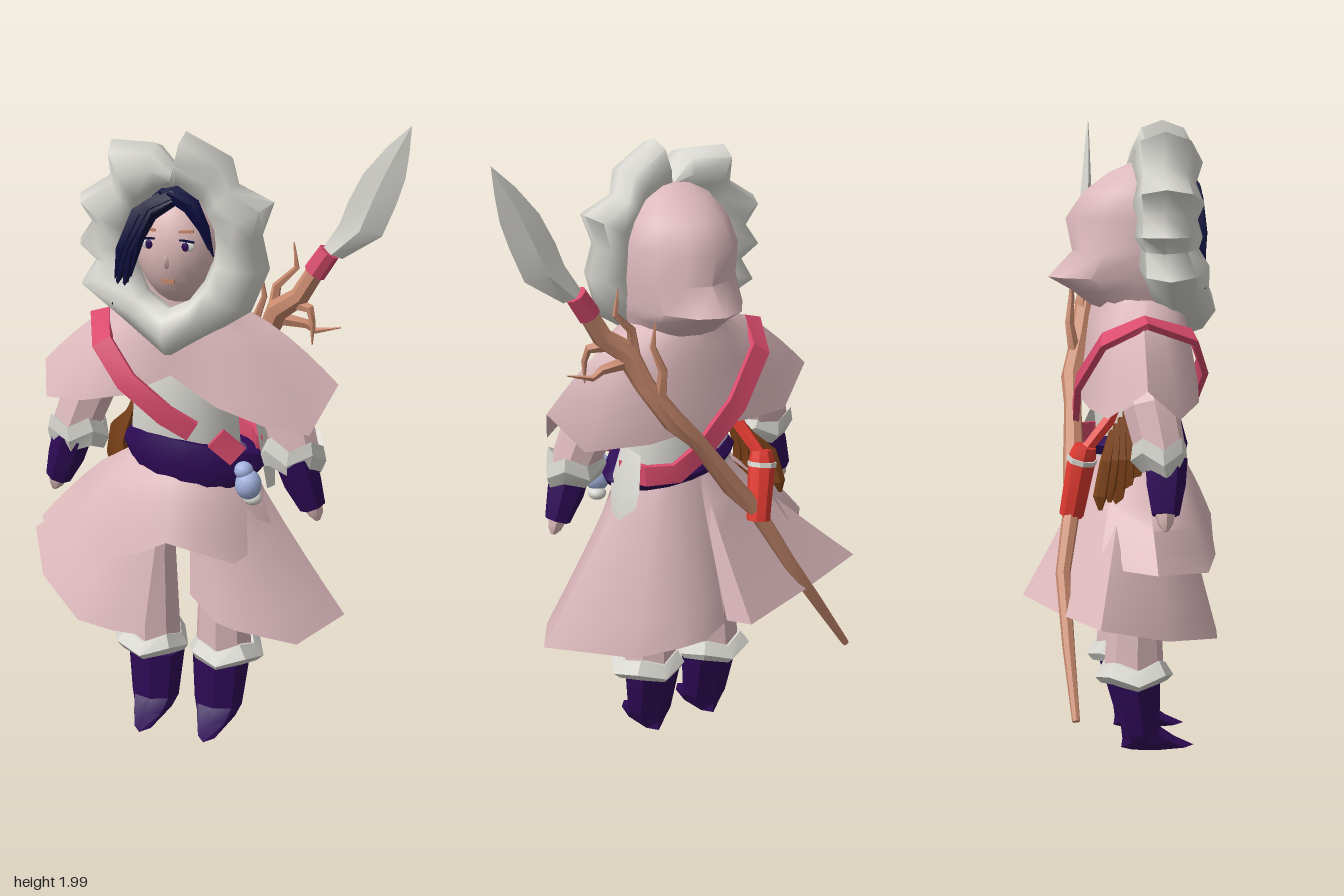
import * as THREE from 'three';
import { mergeVertices, toCreasedNormals } from 'three/addons/utils/BufferGeometryUtils.js';

const V = (p) => new THREE.Vector3(...p);
const CX = -0.03; // mirror line of the body

// Skin over rings of points; rings may be closed loops or open strips
function loft(rings, closed = true, crease = 0.8) {
  const n = rings[0].length, idx = [];
  for (let i = 0; i < rings.length - 1; i++) {
    for (let j = 0; j < (closed ? n : n - 1); j++) {
      const a = i * n + j, b = i * n + (j + 1) % n;
      idx.push(a, b, b + n, a, b + n, a + n);
    }
  }
  let g = new THREE.BufferGeometry();
  g.setAttribute('position', new THREE.Float32BufferAttribute(rings.flat(2), 3));
  g.setIndex(idx);
  g = mergeVertices(g, 1e-5);
  return toCreasedNormals(g, crease);
}

// Tapered limb through points, closed at both ends
function limb(pts, radii, sides = 6, crease = 0.8) {
  const P = pts.map(V), rings = [];
  P.forEach((p, i) => {
    const d = P[Math.min(i + 1, P.length - 1)].clone().sub(P[Math.max(i - 1, 0)]).normalize();
    const ref = Math.abs(d.z) > 0.9 ? new THREE.Vector3(1, 0, 0) : new THREE.Vector3(0, 0, 1);
    const u = ref.cross(d).normalize(), v = d.clone().cross(u);
    const ring = (r) => Array.from({ length: sides }, (_, k) => {
      const a = k / sides * 2 * Math.PI;
      return p.clone().addScaledVector(u, r * Math.cos(a)).addScaledVector(v, r * Math.sin(a)).toArray();
    });
    if (i === 0) rings.push(ring(0));
    rings.push(ring(radii[i]));
    if (i === P.length - 1) rings.push(ring(0));
  });
  return loft(rings, true, crease);
}

// Horizontal ellipse, starting at the front and going round by the +x side; zig lifts every other point
const oval = (x, y, z, rx, rz, n = 12, zig = 0) => Array.from({ length: n }, (_, k) => {
  const a = k / n * 2 * Math.PI;
  return [x + rx * Math.sin(a), y + (k % 2 ? zig : -zig), z + rz * Math.cos(a)];
});

// Cloth hanging from an elliptical top edge down to a free hem
function drape(hem, top, power, closed) {
  const [x, y, z, rx, rz] = top, rows = 5, rings = [];
  for (let i = 0; i <= rows; i++) {
    const t = 1 - i / rows, w = Math.pow(t, power);
    rings.push(hem.map((h) => {
      const a = Math.atan2((h[0] - x) / rx, (h[2] - z) / rz);
      const sx = x + rx * Math.sin(a), sz = z + rz * Math.cos(a);
      return [sx + (h[0] - sx) * w, y + (h[1] - y) * t, sz + (h[2] - sz) * w];
    }));
  }
  return loft(rings, closed, 1.0);
}

// Flat strap of rectangular section; each point is followed by its outward direction
function strap(pts, width, thick = 0.02) {
  const P = pts.map((p) => V(p.slice(0, 3)));
  const rings = P.map((p, i) => {
    const d = P[Math.min(i + 1, P.length - 1)].clone().sub(P[Math.max(i - 1, 0)]).normalize();
    const o = V(pts[i].slice(3)), s = d.clone().cross(o).normalize();
    o.copy(s).cross(d).normalize();
    return [[1, 1], [-1, 1], [-1, -1], [1, -1]].map(([a, b]) =>
      p.clone().addScaledVector(s, a * width / 2).addScaledVector(o, b * thick / 2).toArray());
  });
  const cap = (p) => rings[0].map(() => p.toArray());
  return loft([cap(P[0]), ...rings, cap(P[P.length - 1])], true, 0.5);
}

export function createModel() {
  const root = new THREE.Group();
  const mat = (name, color) => Object.assign(
    new THREE.MeshStandardMaterial({ color, side: THREE.DoubleSide }), { name });
  const cloth = mat('pinkCloth', 0xdcb8bc), fur = mat('paleFur', 0xd8d7d1), purple = mat('purpleLeather', 0x2e0a56),
    skin = mat('skin', 0xe0bcbb), navy = mat('navyHair', 0x0a0a3a), wood = mat('wood', 0xc98a6e),
    crimson = mat('crimsonStrap', 0xd84a6c), red = mat('brightRed', 0xe03a30),
    brown = mat('brownLeather', 0x7c4218), blue = mat('paleBlue', 0xa2b2de);
  const add = (name, geo, m) => {
    const mesh = new THREE.Mesh(geo, m);
    mesh.name = name;
    root.add(mesh);
    return mesh;
  };
  const blob = (name, m, pos, scale) => {
    const b = add(name, new THREE.SphereGeometry(1, 14, 10), m);
    b.position.set(...pos);
    b.scale.set(...scale);
  };
  const box = (name, m, pos, size, rz = 0) => {
    const b = add(name, new THREE.BoxGeometry(...size), m);
    b.position.set(...pos);
    b.rotation.z = rz;
  };

  // Legs, boots, arms and hands, mirrored
  for (const s of [1, -1]) {
    const X = (x) => CX + s * x, side = s > 0 ? 'left' : 'right';
    add(side + 'TrouserLeg', limb([[X(0.095), 0.86, 0.04], [X(0.115), 0.6, 0.04], [X(0.122), 0.27, 0.035]], [0.075, 0.074, 0.095], 8, 0.3), cloth);
    add(side + 'BootFur', loft([oval(X(0.125), 0.225, 0.035, 0.07, 0.07, 8), oval(X(0.125), 0.235, 0.035, 0.11, 0.105, 8, 0.008),
      oval(X(0.13), 0.26, 0.035, 0.128, 0.125, 8, 0.012), oval(X(0.125), 0.3, 0.035, 0.1, 0.1, 8, 0.012),
      oval(X(0.125), 0.295, 0.035, 0.06, 0.06, 8)], true, 0.4), fur);
    add(side + 'Boot', loft([oval(X(0.11), 0.006, 0.08, 0, 0, 8), oval(X(0.11), 0.006, 0.113, 0.04, 0.117, 8),
      oval(X(0.11), 0.035, 0.085, 0.066, 0.085, 8), oval(X(0.11), 0.07, 0.058, 0.082, 0.062, 8),
      oval(X(0.112), 0.23, 0.035, 0.098, 0.085, 8)], true, 0.4), purple);
    add(side + 'Sleeve', limb([[X(0.24), 1.28, 0.05], [X(0.32), 1.13, 0.06], [X(0.365), 1.0, 0.085]], [0.06, 0.083, 0.075], 8, 0.3), cloth);
    add(side + 'CuffFur', loft([oval(X(0.36), 0.96, 0.09, 0.04, 0.04, 8), oval(X(0.355), 0.95, 0.09, 0.09, 0.06, 8, 0.01),
      oval(X(0.355), 0.995, 0.08, 0.105, 0.085, 8, 0.018), oval(X(0.36), 1.04, 0.08, 0.09, 0.08, 8, 0.016),
      oval(X(0.36), 1.02, 0.08, 0.05, 0.05, 8)], true, 0.3), fur);
    add(side + 'Glove', limb([[X(0.365), 0.985, 0.1], [X(0.39), 0.91, 0.095], [X(0.423), 0.825, 0.09]], [0.064, 0.06, 0.042], 7, 0.4), purple);
    add(side + 'Fingers', limb([[X(0.421), 0.835, 0.09], [X(0.433), 0.8, 0.09], [X(0.44), 0.78, 0.09]], [0.034, 0.024, 0.008], 6), skin);
  }

  // Torso and belt, the belt deepening to a point at the front
  add('vest', loft([oval(CX, 0.86, 0.05, 0.19, 0.12), oval(CX, 1.0, 0.06, 0.18, 0.13), oval(CX, 1.12, 0.06, 0.17, 0.14),
    oval(CX, 1.25, 0.06, 0.15, 0.13), oval(CX, 1.4, 0.06, 0.09, 0.1)]), fur);
  const beltRing = (grow, h) => oval(0, 0, 0.06, 0.21 + grow, 0.145 + grow, 16).map(([x, , z]) =>
    [x, 0.965 - 0.13 * x + h * (0.032 + 0.055 * Math.max(0, (z - 0.06) / 0.16)), z]);
  add('belt', loft([beltRing(-0.04, -1), beltRing(0, -0.9), beltRing(0.02, 0), beltRing(0, 0.9), beltRing(-0.04, 1)]), purple);
  add('vestTail', loft([[[0.19, 1.06, 0.03], [0.19, 1.06, -0.02], [0.18, 1.05, -0.07]],
    [[0.22, 0.93, 0.05], [0.23, 0.92, -0.03], [0.21, 0.95, -0.11]],
    [[0.23, 0.84, 0.03], [0.24, 0.83, -0.03], [0.22, 0.89, -0.1]]], false), fur);

  // Skirt of two panels overlapping at the back, with a shorter flap over the front
  const waist = [-0.02, 0.94, 0.05, 0.19, 0.13];
  add('leftSkirtPanel', drape([[0.04, 0.54, 0.24], [0.13, 0.47, 0.27], [0.2, 0.45, 0.27], [0.38, 0.4, 0.21], [0.49, 0.43, 0.02],
    [0.27, 0.42, -0.18], [0.13, 0.43, -0.215], [0.04, 0.44, -0.23], [-0.06, 0.46, -0.19]], waist, 1.1, false), cloth);
  add('rightSkirtPanel', drape([[-0.04, 0.49, -0.23], [-0.08, 0.5, -0.31], [-0.36, 0.51, -0.215], [-0.63, 0.53, -0.12],
    [-0.52, 0.46, 0.09], [-0.33, 0.41, 0.27], [-0.2, 0.4, 0.29], [-0.1, 0.4, 0.29]], waist, 1.1, false), cloth);
  add('skirtFlap', drape([[0.27, 0.7, 0.08], [0.18, 0.66, 0.23], [0.08, 0.7, 0.27], [-0.02, 0.735, 0.3], [-0.12, 0.68, 0.29],
    [-0.23, 0.65, 0.28], [-0.4, 0.635, 0.23], [-0.53, 0.66, 0.06], [-0.4, 0.66, -0.1]], [-0.02, 0.94, 0.05, 0.2, 0.14], 0.75, false), cloth);

  // Shoulder cape
  add('cape', drape([[-0.03, 1.25, 0.21], [0.12, 1.17, 0.23], [0.27, 1.12, 0.22], [0.39, 1.08, 0.15], [0.45, 1.21, 0.03],
    [0.37, 1.1, -0.06], [0.17, 1.1, -0.11], [-0.03, 1.12, -0.12], [-0.2, 1.11, -0.11], [-0.36, 1.1, -0.07],
    [-0.51, 1.2, 0.03], [-0.47, 1.11, 0.13], [-0.32, 1.14, 0.21], [-0.17, 1.18, 0.23]], [CX, 1.44, 0.06, 0.15, 0.14], 0.68, true), cloth);

  // Hood: rows of height, half width and reach to the back, with a hanging fold
  const hoodRows = [[1.4, 0.15, 0.17], [1.46, 0.17, 0.25], [1.5, 0.18, 0.32], [1.58, 0.185, 0.245], [1.68, 0.185, 0.265],
    [1.76, 0.165, 0.21], [1.82, 0.12, 0.13], [1.85, 0.06, 0.06], [1.855, 0, 0]];
  add('hood', loft(hoodRows.map(([y, rx, back]) => oval(CX, y, 0, rx, 1, 14).map(([x, , z]) =>
    [x, y, 0.1 + z * (z > 0 ? 0.04 : back)])), true, 1.0), cloth);

  // Lumpy fur ring round the face: outer outline, lump and notch in turn
  const outline = [[-0.03, 1.87], [0, 1.98], [0.13, 1.91], [0.15, 1.83], [0.26, 1.78], [0.225, 1.68], [0.25, 1.58], [0.2, 1.45],
    [0.09, 1.38], [-0.03, 1.31], [-0.18, 1.4], [-0.34, 1.5], [-0.29, 1.58], [-0.35, 1.63], [-0.3, 1.7], [-0.345, 1.77],
    [-0.235, 1.84], [-0.24, 1.94], [-0.1, 1.94]];
  const furRings = outline.map(([x, y]) => {
    const a = Math.atan2((y - 1.63) / 0.19, (x - CX) / 0.125);
    const low = Math.max(0, -Math.sin(a)), flank = Math.abs(Math.cos(a));
    const ix = CX + 0.122 * Math.cos(a) * (1 - 0.15 * low), iy = 1.63 + (0.187 - 0.025 * low) * Math.sin(a);
    const len = Math.hypot(x - ix, y - iy);
    return Array.from({ length: 8 }, (_, k) => {
      const b = k / 8 * 2 * Math.PI, w = 0.5 - 0.5 * Math.cos(b);
      return [ix + (x - ix) * w, iy + (y - iy) * w,
        0.145 + 0.09 * low - (0.04 * low + 0.04 * flank) * w + (0.05 + 0.27 * len) * Math.sin(b)];
    });
  });
  add('hoodFur', loft([...furRings, furRings[0]], true, 1.4), fur);

  // Head, narrowing to the chin
  const headGeo = new THREE.SphereGeometry(1, 24, 16), hp = headGeo.attributes.position;
  for (let i = 0; i < hp.count; i++) {
    const y = hp.getY(i), k = 1 - 0.15 * Math.max(0, -y);
    hp.setXYZ(i, hp.getX(i) * 0.14 * k, y * 0.185, hp.getZ(i) * 0.145);
  }
  headGeo.computeVertexNormals();
  add('head', headGeo, skin).position.set(CX, 1.64, 0.1);
  for (const s of [1, -1]) {
    blob('eyeWhite', fur, [CX + s * 0.058, 1.66, 0.23], [0.025, 0.015, 0.006]);
    blob('iris', purple, [CX + s * 0.056, 1.66, 0.235], [0.011, 0.014, 0.004]);
    box('eyelid', navy, [CX + s * 0.06, 1.677, 0.233], [0.046, 0.005, 0.008], -s * 0.1);
    box('eyebrow', wood, [CX + s * 0.058, 1.705, 0.232], [0.045, 0.008, 0.008], s * 0.1);
  }
  add('nose', limb([[CX, 1.65, 0.236], [CX, 1.605, 0.246], [CX, 1.595, 0.236]], [0.004, 0.009, 0.006], 8, 2), skin);
  box('mouth', wood, [CX, 1.55, 0.227], [0.04, 0.013, 0.009]);

  // Swept fringe
  const cap = add('hairCap', new THREE.SphereGeometry(1, 20, 8, 0, Math.PI * 2, 0, 0.72), navy);
  cap.position.set(CX, 1.645, 0.095);
  cap.scale.set(0.15, 0.19, 0.155);
  const strands = [
    [[-0.01, 1.81], [-0.09, 1.77], [-0.15, 1.65], [-0.2, 1.47]], [[-0.01, 1.8], [-0.1, 1.74], [-0.14, 1.63], [-0.17, 1.48]],
    [[-0.01, 1.8], [-0.08, 1.76], [-0.115, 1.68], [-0.14, 1.56]], [[-0.05, 1.8], [-0.12, 1.75], [-0.17, 1.64], [-0.19, 1.55]],
    [[-0.03, 1.81], [0.04, 1.78], [0.085, 1.72], [0.115, 1.64]], [[-0.03, 1.81], [0.05, 1.78], [0.08, 1.73], [0.1, 1.66]]];
  for (const s of strands) {
    add('hairStrand', limb(s.map(([x, y], i) => [x, y, [0.215, 0.228, 0.24, 0.245][i]]), [0.02, 0.025, 0.018, 0.002], 5), navy);
  }

  // Strap across chest, shoulder and back
  add('chestStrap', strap([[0.04, 1.08, 0.215, 0, 0, 1], [-0.04, 1.13, 0.235, 0, 0.1, 1], [-0.16, 1.23, 0.245, 0, 0.3, 1],
    [-0.25, 1.33, 0.2, -0.2, 0.6, 0.8], [-0.31, 1.38, 0.05, -0.3, 1, 0], [-0.26, 1.32, -0.07, -0.2, 0.5, -0.8],
    [-0.13, 1.18, -0.135, 0, 0.2, -1], [0, 1.05, -0.135, 0, 0, -1], [0.08, 0.99, -0.12, 0.2, 0, -1],
    [0.16, 0.98, -0.07, 1, 0, -0.6], [0.2, 0.98, 0.02, 1, 0, 0]], 0.065), crimson);
  add('strapEnd', strap([[0.11, 1.06, 0.2, 0.2, 0, 1], [0.175, 1.0, 0.18, 0.4, 0, 1]], 0.07), crimson);

  // Things hung from the belt
  blob('pouch', blue, [0.205, 0.905, 0.165], [0.042, 0.048, 0.042]);
  blob('pouchNeck', blue, [0.19, 0.95, 0.165], [0.03, 0.028, 0.03]);
  blob('pouchTassel', fur, [0.215, 0.855, 0.15], [0.03, 0.022, 0.03]);
  add('canister', limb([[-0.235, 1.0, -0.125], [-0.23, 0.96, -0.135], [-0.2, 0.78, -0.165]], [0.034, 0.044, 0.038], 8, 0.5), red);
  add('canisterCord', limb([[-0.18, 1.15, -0.01], [-0.2, 1.07, -0.05], [-0.23, 0.99, -0.12]], [0.015, 0.022, 0.02], 6), red);
  add('canisterBand', limb([[-0.233, 0.965, -0.134], [-0.23, 0.95, -0.137]], [0.047, 0.047], 8, 0.5), fur);
  for (let i = 0; i < 5; i++) {
    add('leatherTassel', limb([[-0.2 - 0.008 * i, 1.12 - 0.02 * i, 0.02 - 0.015 * i], [-0.25 - 0.015 * i, 0.96, 0.03 - 0.025 * i],
      [-0.25 - 0.02 * i, 0.88 - 0.02 * (i % 3), 0.03 - 0.03 * i], [-0.27 - 0.017 * i, 0.84 - 0.02 * (i % 3), 0.03 - 0.03 * i]],
    [0.014, 0.02, 0.022, 0.006], 5, 0.3), brown);
  }

  // Gnarled staff with twigs, binding and blade
  add('staff', limb([[-0.56, 0.24, -0.185], [-0.43, 0.43, -0.195], [-0.3, 0.62, -0.2], [-0.19, 0.82, -0.16], [-0.11, 0.91, -0.15],
    [0.02, 1.09, -0.14], [0.1, 1.17, -0.135], [0.18, 1.29, -0.1], [0.23, 1.4, -0.075], [0.3, 1.45, -0.06], [0.37, 1.57, -0.06]],
  [0.012, 0.019, 0.023, 0.028, 0.034, 0.028, 0.036, 0.032, 0.038, 0.032, 0.028], 7, 0.5), wood);
  const twigs = [[[0.2, 1.33, -0.09], [0.22, 1.47, -0.09], [0.28, 1.53, -0.1], [0.27, 1.61, -0.1]],
    [[0.23, 1.37, -0.08], [0.32, 1.36, -0.08], [0.35, 1.34, -0.08], [0.43, 1.36, -0.07]],
    [[0.27, 1.43, -0.07], [0.34, 1.42, -0.04], [0.35, 1.38, -0.03], [0.35, 1.31, -0.03]],
    [[0.14, 1.22, -0.12], [0.14, 1.34, -0.14], [0.17, 1.42, -0.13], [0.16, 1.5, -0.13]]];
  for (const t of twigs) add('twig', limb(t, [0.022, 0.015, 0.01, 0.002], 5), wood);
  add('bladeBinding', limb([[0.345, 1.53, -0.06], [0.39, 1.6, -0.06]], [0.036, 0.034], 8, 0.5), crimson);
  const bladeRows = [[0.37, 1.61, 0.43, 1.58, 0.02], [0.42, 1.69, 0.55, 1.66, 0.022], [0.445, 1.76, 0.59, 1.76, 0.018],
    [0.49, 1.85, 0.615, 1.84, 0.012], [0.56, 1.935, 0.625, 1.92, 0.007], [0.63, 2, 0.63, 2, 0]];
  add('blade', loft(bladeRows.map(([x0, y0, x1, y1, d], i) => {
    const z = -0.06 + 0.006 * i, mx = (x0 + x1) / 2, my = (y0 + y1) / 2;
    return [[x0, y0, z], [mx, my, z + d], [x1, y1, z], [mx, my, z - d]].reverse();
  }).reverse(), true, 0.3), fur);
  return root;
}
